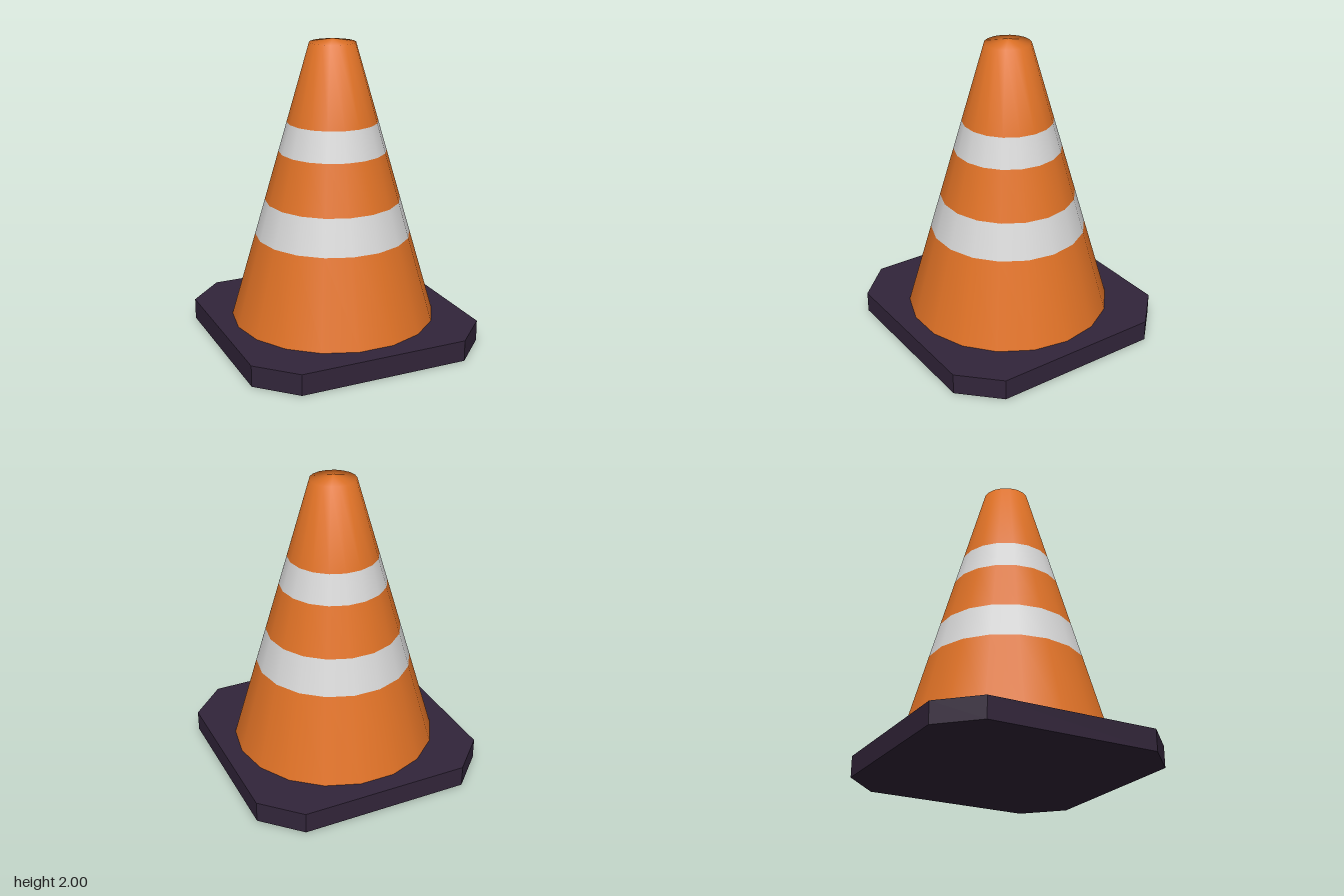
import * as THREE from 'three';

const BASE_TOP = 0.14;
const SIDES = 18;

// radius of the straight cone wall at a given height
const radiusAt = (y) => THREE.MathUtils.mapLinear(y, BASE_TOP, 1.977, 0.68, 0.15);

export function createModel() {
  const group = new THREE.Group();
  const material = (name, color) => {
    const m = new THREE.MeshStandardMaterial({ color });
    m.name = name;
    return m;
  };
  const orange = material('orange', 0xe07226);
  const white = material('white', 0xd8d8d8);
  const dark = material('darkPurple', 0x32253a);

  const add = (name, geometry, mat) => {
    const mesh = new THREE.Mesh(geometry, mat);
    mesh.name = name;
    group.add(mesh);
  };

  // square base slab with cut corners
  const h = 0.8, c = 0.565;
  const outline = new THREE.Shape(
    [[h, -c], [h, c], [c, h], [-c, h], [-h, c], [-h, -c], [-c, -h], [c, -h]]
      .map(([x, y]) => new THREE.Vector2(x, y)));
  const base = new THREE.ExtrudeGeometry(outline, { depth: BASE_TOP, bevelEnabled: false });
  base.rotateX(-Math.PI / 2);
  add('base', base, dark);

  // cone wall in stacked bands; the top one closes in a shallow smooth tip
  const bands = [
    ['lowerCone', BASE_TOP, 0.71, orange],
    ['lowerStripe', 0.71, 0.945, white],
    ['middleCone', 0.945, 1.272, orange],
    ['upperStripe', 1.272, 1.465, white],
    ['coneTip', 1.465, 1.977, orange],
  ];
  for (const [name, y0, y1, mat] of bands) {
    const profile = [y0, y1].map((y) => new THREE.Vector2(radiusAt(y), y));
    if (name === 'coneTip') profile.push(new THREE.Vector2(0, 2));
    add(name, new THREE.LatheGeometry(profile, SIDES, Math.PI / 2), mat);
  }

  return group;
}
